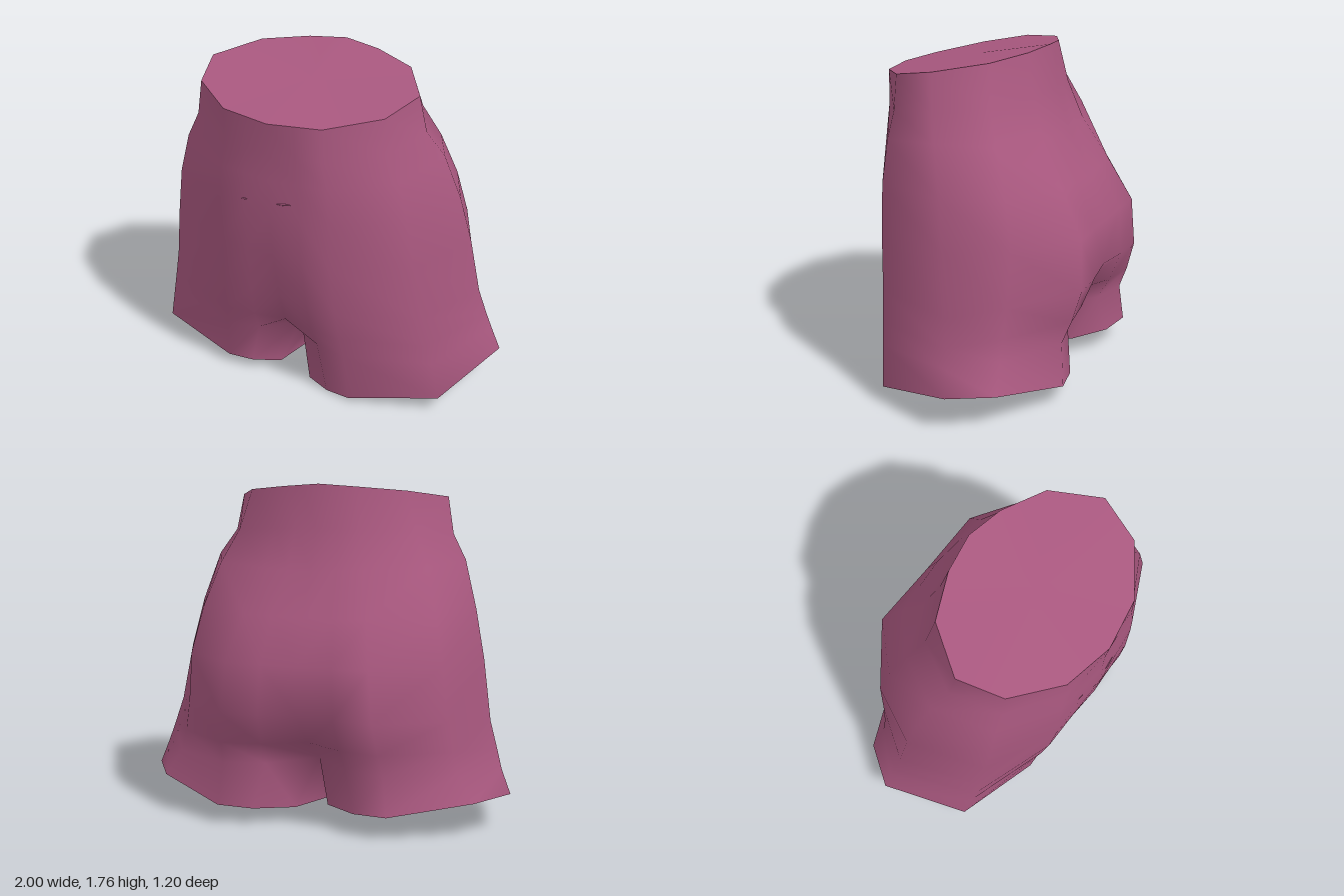
import * as THREE from 'three';
import { mergeVertices } from 'three/addons/utils/BufferGeometryUtils.js';

// Half sections from waist to hem: side [x, y, z], front and back centre [y, z],
// front panel [z of inner, z of outer edge], outer seat [x, z], inner seat z
const sections = [
  { side: [0.585, 1.692, 0.13], front: [1.61, 0.595], back: [1.762, -0.25], panel: [0.545, 0.365], hip: [0.43, -0.11], seat: -0.215 },
  { side: [0.62, 1.5, 0.11], front: [1.44, 0.58], back: [1.54, -0.29], panel: [0.545, 0.37], hip: [0.49, -0.14], seat: -0.26 },
  { side: [0.7, 1.37, 0.06], front: [1.3, 0.58], back: [1.32, -0.36], panel: [0.55, 0.375], hip: [0.57, -0.21], seat: -0.33 },
  { side: [0.775, 1.12, 0], front: [1.12, 0.588], back: [1.1, -0.49], panel: [0.55, 0.38], hip: [0.64, -0.29], seat: -0.46 },
  { side: [0.83, 0.87, -0.04], front: [0.87, 0.565], back: [0.87, -0.58], panel: [0.545, 0.37], hip: [0.69, -0.34], seat: -0.585 },
  { side: [0.878, 0.56, -0.08], front: [0.6, 0.505], back: [0.62, -0.57], panel: [0.52, 0.35], hip: [0.715, -0.33], seat: -0.6 },
  { side: [0.92, 0.42, -0.1], front: [0.42, 0.45], back: [0.45, -0.42], panel: [0.49, 0.335], hip: [0.74, -0.32], seat: -0.555 },
  { side: [0.95, 0.32, -0.12], front: [0.3, 0.27], back: [0.33, -0.24], panel: [0.465, 0.325], hip: [0.77, -0.32], seat: -0.51 },
  { side: [1, 0.195, -0.13], front: [0.005, 0.35], back: [0.08, -0.36], panel: [0.435, 0.31], hip: [0.86, -0.34], seat: -0.53 },
];
const CROTCH = 7;
const HEM = 8;
const { lerp } = THREE.MathUtils;
const vec = (x, y, z) => new THREE.Vector3(x, y, z);

// Points round one half, front centre to back centre; leg rings close along the inner leg
function halfRing({ side, front, back, panel, hip, seat }, i) {
  const [w, sideY] = side;
  const t = Math.min(1, (1.692 - sideY) / 0.8);
  const innerX = i === HEM ? 0.09 : 0;
  const blend = i > 4 ? 0.8 : 0.5;
  const ring = [
    vec(innerX, ...front),
    vec(w * lerp(0.46, 0.37, t), lerp(front[0], sideY, 0.07), panel[0]),
    vec(w * lerp(0.87, 0.83, t), lerp(front[0], sideY, 0.48), panel[1]),
    vec(...side),
    vec(hip[0], lerp(back[0], sideY, i === HEM ? 0.9 : 0.5), hip[1]),
    vec(w * lerp(0.34, 0.46, t), lerp(back[0], sideY, 0.2), seat),
    vec(innerX, ...back),
  ];
  // Extra points beside the centre keep the crotch folds narrow
  const between = (a, b) => vec((a.x + b.x) / 2, (a.y + b.y) / 2, lerp(a.z, b.z, blend));
  ring.splice(1, 0, between(ring[0], ring[1]));
  ring.splice(7, 0, between(ring[7], ring[6]));
  if (i === CROTCH) ring.push(vec(0, 0.23, -0.09), vec(0, 0.21, 0.12));
  if (i === HEM) ring.push(vec(0.03, 0.06, -0.09), vec(0.03, 0.025, 0.14));
  return ring;
}

// Geometry from a list of triangles, welded for smooth normals
function fromTriangles(tris) {
  const welded = mergeVertices(new THREE.BufferGeometry().setFromPoints(tris.flat()), 1e-4);
  welded.computeVertexNormals();
  return welded;
}

// Flat end cap: fan around the middle of a loop
function fan(loop, flip) {
  const mid = loop.reduce((s, p) => s.add(p), vec(0, 0, 0)).divideScalar(loop.length);
  return fromTriangles(loop.map((p, i) => {
    const q = loop[(i + 1) % loop.length];
    return flip ? [mid, q, p] : [mid, p, q];
  }));
}

// The right leg mirrors the left one, with a slightly higher hem
const mirror = (p) => vec(-p.x, p.y + 0.055 * Math.max(0, 1 - p.y / 0.2) * (1 - 0.3 * p.x), p.z);

export function createModel() {
  const group = new THREE.Group();
  const fabric = new THREE.MeshStandardMaterial({ color: 0xa9587f });
  fabric.name = 'rose';
  const add = (name, geometry) => {
    const mesh = new THREE.Mesh(geometry, fabric);
    mesh.name = name;
    group.add(mesh);
    return mesh;
  };

  // Hips and legs as one skin; below the crotch each leg closes into a tube
  const rings = sections.map(halfRing);
  const [waist, hem] = [rings[0], rings[HEM]];
  const skin = [];
  for (let i = 0; i < HEM; i++) {
    const count = i < CROTCH ? waist.length - 1 : hem.length;
    for (let j = 0; j < count; j++) {
      const k = (j + 1) % rings[i].length;
      const quad = [rings[i][j], rings[i][k], rings[i + 1][k], rings[i + 1][j]];
      const [a, b, c, d] = quad;
      const [ma, mb, mc, md] = quad.map(mirror);
      skin.push([a, d, c], [a, c, b], [ma, mc, md], [ma, mb, mc]);
    }
  }
  add('hipsAndLegs', fromTriangles(skin));

  // Waist and hem caps
  add('waistCap', fan([...waist, ...waist.slice(1, -1).reverse().map(mirror)], false));
  add('leftHemCap', fan(hem, true));
  add('rightHemCap', fan(hem.map(mirror), false));

  // Small creases on the belly
  for (const [name, x, y, w] of [['leftCrease', 0.075, 1.185, 0.04], ['rightCrease', -0.155, 1.16, 0.022]]) {
    const crease = add(name, new THREE.SphereGeometry(1, 10, 6));
    crease.scale.set(w, 0.005, 0.005);
    crease.position.set(x, y, 0.585 - Math.abs(x) * 0.127);
    crease.rotation.set(0, Math.sign(x) * 0.13, 0.1);
  }
  return group;
}
